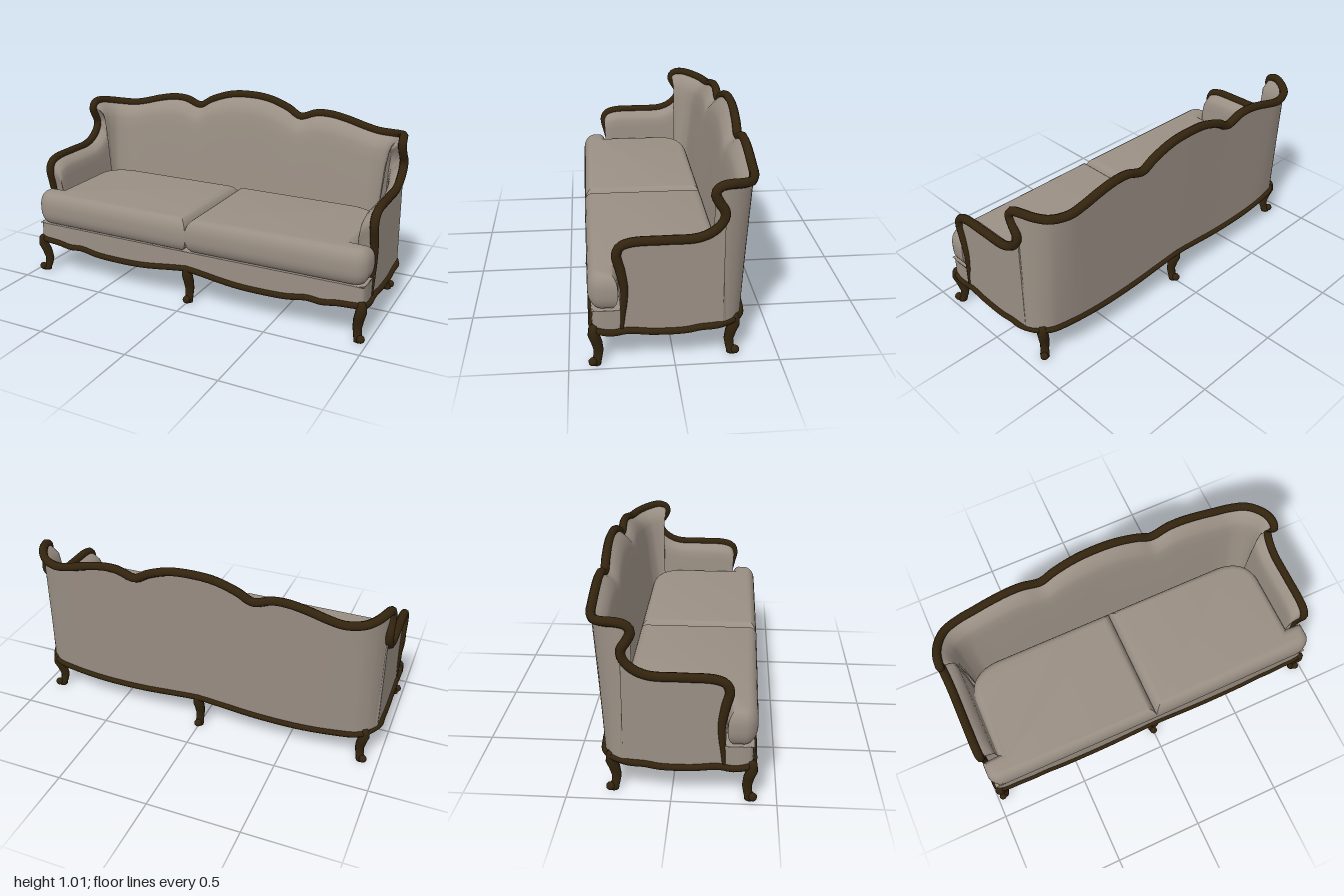
import * as THREE from 'three';
import { toCreasedNormals } from 'three/addons/utils/BufferGeometryUtils.js';

const V = (x, y, z) => new THREE.Vector3(x, y, z);

// Half of a symmetric path plus its mirror image (last point lies on x = 0)
const mirrored = (pts) => [...pts, ...pts.slice(0, -1).reverse().map((p) => V(-p.x, p.y, p.z))];

// Skin a grid of points given as rows of equal length
function loft(rows, wrap = false) {
  const n = rows[0].length, pos = [], idx = [];
  rows.forEach((r) => r.forEach((p) => pos.push(p.x, p.y, p.z)));
  for (let i = 0; i < rows.length - 1; i++) {
    for (let j = 0; j < (wrap ? n : n - 1); j++) {
      const k = (j + 1) % n, a = i * n + j, b = i * n + k, c = a + n, d = b + n;
      idx.push(a, c, b, b, c, d);
    }
  }
  const g = new THREE.BufferGeometry();
  g.setAttribute('position', new THREE.Float32BufferAttribute(pos, 3));
  g.setIndex(idx);
  g.computeVertexNormals();
  return g;
}

export function createModel() {
  const fabric = new THREE.MeshStandardMaterial({ color: 0x9a8f84, side: THREE.DoubleSide });
  fabric.name = 'greige fabric';
  const wood = new THREE.MeshStandardMaterial({ color: 0x33240e });
  wood.name = 'dark wood';
  const model = new THREE.Group();
  model.name = 'sofa';
  const add = (name, geo, mat, parent = model) => {
    const m = new THREE.Mesh(geo, mat);
    m.name = name;
    parent.add(m);
    return m;
  };

  // Rail path from arm front to middle of back: x, y, z, then foot of the wall x, z
  const half = [
    [0.967, 0.2, 0.247, 0.97, 0.25], [0.967, 0.4, 0.234, 0.97, 0.25],
    [0.967, 0.5, 0.25, 0.97, 0.249], [0.967, 0.58, 0.267, 0.97, 0.248],
    [0.967, 0.62, 0.25, 0.97, 0.238], [0.967, 0.64, 0.2, 0.97, 0.2],
    [0.967, 0.645, 0.05, 0.97, 0.05], [0.967, 0.65, -0.1, 0.97, -0.1],
    [0.967, 0.68, -0.17, 0.97, -0.16], [0.967, 0.73, -0.215, 0.97, -0.2],
    [0.967, 0.77, -0.22, 0.97, -0.215], [0.965, 0.82, -0.19, 0.968, -0.225],
    [0.963, 0.86, -0.175, 0.965, -0.235], [0.96, 0.888, -0.195, 0.96, -0.245],
    [0.95, 0.896, -0.24, 0.95, -0.26], [0.92, 0.886, -0.3, 0.925, -0.288],
    [0.87, 0.874, -0.35, 0.87, -0.32], [0.78, 0.87, -0.38, 0.77, -0.335],
    [0.7, 0.885, -0.385, 0.7, -0.34], [0.6, 0.912, -0.387, 0.6, -0.34],
    [0.5, 0.93, -0.388, 0.5, -0.34], [0.42, 0.928, -0.388, 0.42, -0.34],
    [0.32, 0.898, -0.386, 0.32, -0.34], [0.24, 0.94, -0.39, 0.24, -0.341],
    [0.12, 0.98, -0.394, 0.12, -0.343], [0, 0.99, -0.396, 0, -0.344],
  ];
  // Inward direction turns from sideways on the arms to forward on the back
  const turn = (i) => THREE.MathUtils.clamp((i - 12) / 5, 0, 1) * Math.PI / 2;
  const rail = new THREE.CatmullRomCurve3(mirrored(half.map((h) => V(h[0], h[1], h[2]))));
  const foot = new THREE.CatmullRomCurve3(mirrored(half.map((h) => V(h[3], 0.18, h[4]))), false, 'catmullrom', 0.3);
  const inward = new THREE.CatmullRomCurve3(
    mirrored(half.map((h, i) => V(i === half.length - 1 ? 0 : -Math.cos(turn(i)), 0, Math.sin(turn(i))))),
    false, 'catmullrom', 0.3);
  const N = 200;
  const top = rail.getPoints(N), low = foot.getPoints(N), dir = inward.getPoints(N);

  // Wall row a share u of the way down; below the wings it is held back behind the neck of the rail
  const wallRow = (u, depth) => top.map((p, i) => {
    const q = p.clone().lerp(low[i], u);
    if (p.y > 0.78) q.z = Math.min(q.z, -0.225 + Math.max(0, q.y - 0.78) * 0.6);
    const corner = Math.abs(2 * dir[i].x * dir[i].z);
    return q.addScaledVector(dir[i], depth * (1 + 0.6 * corner * u));
  });
  add('outerUpholstery', loft([0, 0.04, 0.08, 0.12, 0.25, 0.6, 1].map((u) => wallRow(u, 0))), fabric);
  const padding = [[0, 0], [0.04, 0.035], [0.08, 0.06], [0.13, 0.07], [0.22, 0.077], [0.6, 0.088], [1, 0.095]];
  add('innerPadding', loft(padding.map(([u, d]) => wallRow(u, d))), fabric);

  // Carved rail, tapering where it runs down the arm fronts
  const RINGS = 240, SIDES = 8;
  const railGeo = new THREE.TubeGeometry(rail, RINGS, 0.023, SIDES);
  const railPos = railGeo.attributes.position, v = V();
  for (let i = 0; i <= RINGS; i++) {
    const c = rail.getPointAt(i / RINGS);
    const s = THREE.MathUtils.clamp(0.45 + (c.y - 0.2) / 0.3 * 0.55, 0.45, 1);
    for (let j = i * (SIDES + 1); j < (i + 1) * (SIDES + 1); j++) {
      v.fromBufferAttribute(railPos, j).sub(c).multiplyScalar(s).add(c);
      railPos.setXYZ(j, v.x, v.y, v.z);
    }
  }
  add('carvedRail', railGeo, wood);

  // Wavy lower trim, right half of the outline from front centre to back centre
  const frontTrim = [[0, 0.2], [0.1, 0.19], [0.2, 0.176], [0.3, 0.166], [0.45, 0.163], [0.58, 0.168],
    [0.68, 0.184], [0.76, 0.178], [0.84, 0.19], [0.92, 0.195]].map(([x, y]) => V(x, y, 0.39 - 0.006 * x * x));
  frontTrim.push(V(0.962, 0.195, 0.375));
  const sideTrim = [[0.34, 0.185], [0.29, 0.178], [0.22, 0.188], [0.1, 0.176], [-0.05, 0.176],
    [-0.12, 0.188], [-0.2, 0.194]].map(([z, y]) => V(0.972, y, z));
  const backTrim = [[0.925, 0.192, -0.285], [0.87, 0.19, -0.322], [0.77, 0.184, -0.337], [0.6, 0.17, -0.342],
    [0.45, 0.167, -0.342], [0.3, 0.172, -0.342], [0.15, 0.186, -0.343], [0, 0.198, -0.345]].map((p) => V(...p));
  const trimHalf = [...frontTrim, ...sideTrim, ...backTrim];
  const outline = new THREE.CatmullRomCurve3(mirrored(trimHalf).slice(0, -1), true);
  add('lowerTrim', new THREE.TubeGeometry(outline, 240, 0.017, 7, true), wood);

  // Seat base band across the front and round to the arms, with a ledge under the cushion fronts
  const base = new THREE.CatmullRomCurve3(mirrored([...frontTrim, ...sideTrim.slice(0, 3)].reverse()));
  const baseLow = base.getPoints(120);
  add('seatBase', loft([baseLow.map((p) => V(p.x, 0.296, p.z)), baseLow]), fabric);
  const ledge = new THREE.PlaneGeometry(1.94, 0.155).rotateX(-Math.PI / 2).translate(0, 0.295, 0.31);
  add('seatLedge', ledge, fabric);

  // Two T-shaped seat cushions that wrap in front of the arms, hollow underneath
  for (const s of [1, -1]) {
    const c = new THREE.Shape();
    c.moveTo(s * 0.0495, 0.2);
    c.lineTo(s * 0.7, 0.2);
    c.quadraticCurveTo(s * 0.835, 0.19, s * 0.838, 0.08);
    c.lineTo(s * 0.838, -0.305);
    c.lineTo(s * 0.93, -0.31);
    c.lineTo(s * 0.93, -0.335);
    c.quadraticCurveTo(s * 0.925, -0.35, s * 0.9, -0.352);
    c.lineTo(s * 0.0495, -0.356);
    const solid = new THREE.ExtrudeGeometry(c, {
      depth: 0.03, bevelThickness: 0.08, bevelSize: 0.05, bevelSegments: 6, curveSegments: 8,
    });
    const p = solid.attributes.position, open = [];
    for (let i = 0; i < p.count; i += 3) {
      if (Math.max(p.getZ(i), p.getZ(i + 1), p.getZ(i + 2)) < -0.0799) continue;
      for (let j = i; j < i + 3; j++) open.push(p.getX(j), p.getY(j), p.getZ(j));
    }
    const g = new THREE.BufferGeometry();
    g.setAttribute('position', new THREE.Float32BufferAttribute(open, 3));
    g.rotateX(-Math.PI / 2).translate(0, 0.371, 0);
    add(s > 0 ? 'leftCushion' : 'rightCushion', toCreasedNormals(g, 0.8), fabric);
  }

  // Cabriole leg, from the sole up: [height, outward shift, radius]
  const legRings = [[0, -0.01, 0.001], [0, -0.01, 0.024], [0.015, -0.012, 0.024], [0.035, -0.022, 0.022],
    [0.07, -0.028, 0.024], [0.12, -0.016, 0.028], [0.16, 0, 0.029], [0.2, 0.002, 0.024], [0.216, 0, 0.016],
    [0.218, 0, 0.001]];
  const legGeo = loft(legRings.map(([y, out, r]) => Array.from({ length: 10 }, (_, k) => {
    const a = k / 10 * Math.PI * 2;
    return V(Math.cos(a) * r, y, out - Math.sin(a) * r);
  })).reverse(), true);
  const toeGeo = new THREE.SphereGeometry(0.021, 10, 8);
  const D = Math.PI / 4;
  const legs = [['frontLeftLeg', 0.96, 0.378, D], ['frontRightLeg', -0.96, 0.378, -D], ['frontMiddleLeg', 0, 0.382, 0],
    ['backLeftLeg', 0.915, -0.288, Math.PI - D], ['backRightLeg', -0.915, -0.288, Math.PI + D],
    ['backMiddleLeg', 0, -0.335, Math.PI]];
  for (const [name, x, z, angle] of legs) {
    const leg = new THREE.Group();
    leg.name = name;
    add('cabriole', legGeo, wood, leg);
    add('toe', toeGeo, wood, leg).position.set(0, 0.021, 0.012);
    leg.position.set(x, 0, z);
    leg.rotation.y = angle;
    model.add(leg);
  }
  return model;
}
